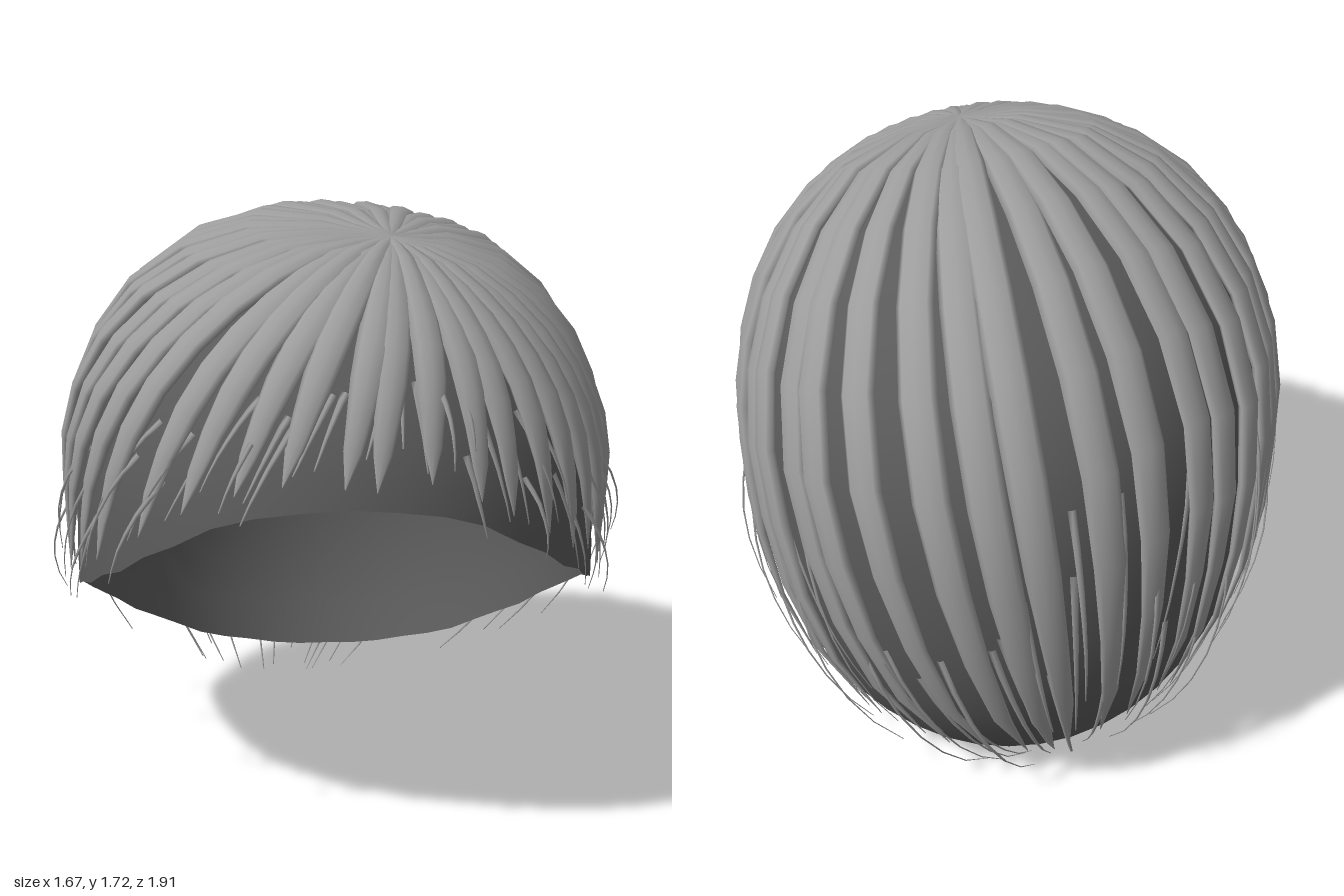
import * as THREE from 'three';

const CENTRE_Y = 0.85;
const POWER = 2.3;
// Hairline height as a function of z: [z, y]
const HAIRLINE = [[-1, -0.16], [-0.72, 0.08], [-0.4, 0.34], [-0.2, 0.48], [0, 0.58], [0.2, 0.65],
  [0.4, 0.72], [0.6, 0.82], [0.75, 0.93], [0.92, 1.08], [1.1, 1.2]];

// Linear interpolation through [t, value] pairs
function ramp(points) {
  return t => {
    let i = 0;
    while (i < points.length - 2 && t > points[i + 1][0]) i++;
    const [a, va] = points[i], [b, vb] = points[i + 1];
    return THREE.MathUtils.lerp(va, vb, (t - a) / (b - a));
  };
}

const hairline = ramp(HAIRLINE);

// Head radii: fuller low at the sides, peaked across the top, different front/back
const radii = d => [
  0.765 + 0.02 * THREE.MathUtils.clamp(-3 * d.y, 0, 1),
  d.y > 0 ? 0.84 - 0.06 * Math.abs(d.z) : 1.08,
  d.z > 0 ? 0.93 : 0.94,
];

function headNormal(d) {
  const [rx, ry, rz] = radii(d);
  return new THREE.Vector3(d.x / rx ** 2, d.y / ry ** 2, d.z / rz ** 2).normalize();
}

// Point of the head surface in direction d, lifted by an offset
function onHead(d, lift = 0) {
  const [rx, ry, rz] = radii(d);
  const h = Math.hypot(d.x / rx, d.z / rz);
  const r = (h ** POWER + (Math.abs(d.y) / ry) ** POWER) ** (-1 / POWER);
  const p = d.clone().multiplyScalar(r).addScaledVector(headNormal(d), lift);
  p.y += CENTRE_Y;
  return p;
}

// Angle at which a path of directions crosses the hairline
function angleToHairline(dirAt) {
  let s = 0;
  for (; s < 3; s += 0.01) {
    const p = onHead(dirAt(s));
    if (p.y < hairline(p.z)) break;
  }
  return s;
}

// Rows of points, each row a closed loop
function loft(rows) {
  const n = rows[0].length, index = [];
  for (let i = 0; i < rows.length - 1; i++) {
    for (let j = 0; j < n; j++) {
      const k = (j + 1) % n, a = i * n, b = a + n;
      index.push(a + j, b + j, a + k, b + j, b + k, a + k);
    }
  }
  const geo = new THREE.BufferGeometry().setFromPoints(rows.flat());
  geo.setIndex(index);
  geo.computeVertexNormals();
  return geo;
}

// Tapered lock with an oval section, lying along the head
function lock(path, normals, halfWidth, halfDepth, sides) {
  const last = path.length - 1;
  return loft(path.map((p, i) => {
    const t = path[Math.min(i + 1, last)].clone().sub(path[Math.max(i - 1, 0)]).normalize();
    const side = t.clone().cross(normals[i]).normalize();
    const up = side.clone().cross(t).normalize();
    return Array.from({ length: sides }, (_, j) => {
      const a = j / sides * Math.PI * 2;
      const q = p.clone()
        .addScaledVector(side, Math.cos(a) * halfWidth(i / last))
        .addScaledVector(up, Math.sin(a) * halfDepth(i / last));
      q.y = Math.max(q.y, 0);
      return q;
    });
  }));
}

export function createModel() {
  const model = new THREE.Group();
  model.name = 'hair';
  const hairGrey = new THREE.MeshStandardMaterial({ color: 0x9c9c9c });
  hairGrey.name = 'light grey hair';
  const capGrey = new THREE.MeshStandardMaterial({ color: 0x5a5a5a, side: THREE.DoubleSide });
  capGrey.name = 'dark grey cap';

  let seed = 7;
  const random = () => (seed = (seed * 16807) % 2147483647) / 2147483647;

  // Scalp cap, open below the hairline
  const columns = 48, capRows = 16;
  const meridians = Array.from({ length: columns }, (_, j) => {
    const a = j / columns * Math.PI * 2;
    const dirAt = s => new THREE.Vector3(Math.sin(s) * Math.sin(a), Math.cos(s), Math.sin(s) * Math.cos(a));
    return { dirAt, end: angleToHairline(dirAt) };
  });
  const capGeo = loft(Array.from({ length: capRows + 1 }, (_, i) =>
    meridians.map(m => onHead(m.dirAt(Math.max(0.001, m.end * i / capRows))))));
  const cap = new THREE.Mesh(capGeo, capGrey);
  cap.name = 'scalpCap';
  model.add(cap);

  // Directions fanning out of the off-centre crown; azimuth 0 is the front
  const crown = new THREE.Vector3(0.14, 0.79, 0.28).normalize();
  const sideways = new THREE.Vector3(1, 0, 0);
  sideways.addScaledVector(crown, -sideways.dot(crown)).normalize();
  const forward = sideways.clone().cross(crown).normalize();
  const fan = (az, s) => crown.clone().multiplyScalar(Math.cos(s))
    .addScaledVector(forward, Math.sin(s) * Math.cos(az))
    .addScaledVector(sideways, Math.sin(s) * Math.sin(az));

  // Broad locks: closed around the crown, then tapering and leaving gaps
  const locks = new THREE.Group();
  locks.name = 'locks';
  const lockCount = 41, lockSteps = 10;
  const body = ramp([[0, 0.016], [0.2, 0.03], [0.4, 0.04], [0.6, 0.046], [1, 0.051], [1.4, 0.053], [3, 0.053]]);
  const taper = ramp([[0, 1], [0.55, 1], [0.7, 0.88], [0.9, 0.48], [1, 0.02]]);
  const depth = ramp([[0, 0.012], [0.2, 0.018], [0.7, 0.02], [1, 0.001]]);
  const lift = ramp([[0, 0.004], [0.2, 0.024], [0.6, 0.034], [1, 0.022]]);
  for (let k = 0; k < lockCount; k++) {
    const az = (k + 0.45 * (random() - 0.5)) / lockCount * Math.PI * 2;
    const end = angleToHairline(s => fan(az, s)) * (0.94 + 0.05 * random() - 0.03 * Math.max(Math.cos(az), 0));
    const path = [], normals = [];
    for (let i = 0; i <= lockSteps; i++) {
      const t = i / lockSteps, d = fan(az, end * t);
      path.push(onHead(d, lift(t) + 0.004 * (k % 2)));
      normals.push(headNormal(d));
    }
    const width = t => body(end * t) * taper(t);
    const mesh = new THREE.Mesh(lock(path, normals, width, depth, 8), hairGrey);
    mesh.name = 'lock';
    locks.add(mesh);
  }
  model.add(locks);

  // Flat loose wisps that slant backwards and curl out past the hairline
  const wisps = new THREE.Group();
  wisps.name = 'wisps';
  const wispCount = 90, wispSteps = 6;
  const wispWidth = t => 0.009 * (1 - t) + 0.002;
  const wispDepth = t => 0.003 * (1 - t) + 0.001;
  for (let k = 0; k < wispCount; k++) {
    const az = (k + random()) / wispCount * Math.PI * 2;
    const drift = 0.14 * Math.sin(az) + 0.08 * (random() - 0.5);
    const from = 0.6 + 0.25 * random(), to = Math.min(from + 0.2 + 0.06 * random(), 1.035);
    const flare = 0.055 * random() ** 2;
    const path = [], normals = [];
    for (let i = 0; i <= wispSteps; i++) {
      const t = i / wispSteps, a = az + drift * t;
      const d = fan(a, angleToHairline(s => fan(a, s)) * (from + (to - from) * t));
      path.push(onHead(d, 0.02 + flare * Math.sin(t * 2.4)));
      normals.push(headNormal(d));
    }
    const mesh = new THREE.Mesh(lock(path, normals, wispWidth, wispDepth, 4), hairGrey);
    mesh.name = 'wisp';
    wisps.add(mesh);
  }
  model.add(wisps);

  return model;
}
